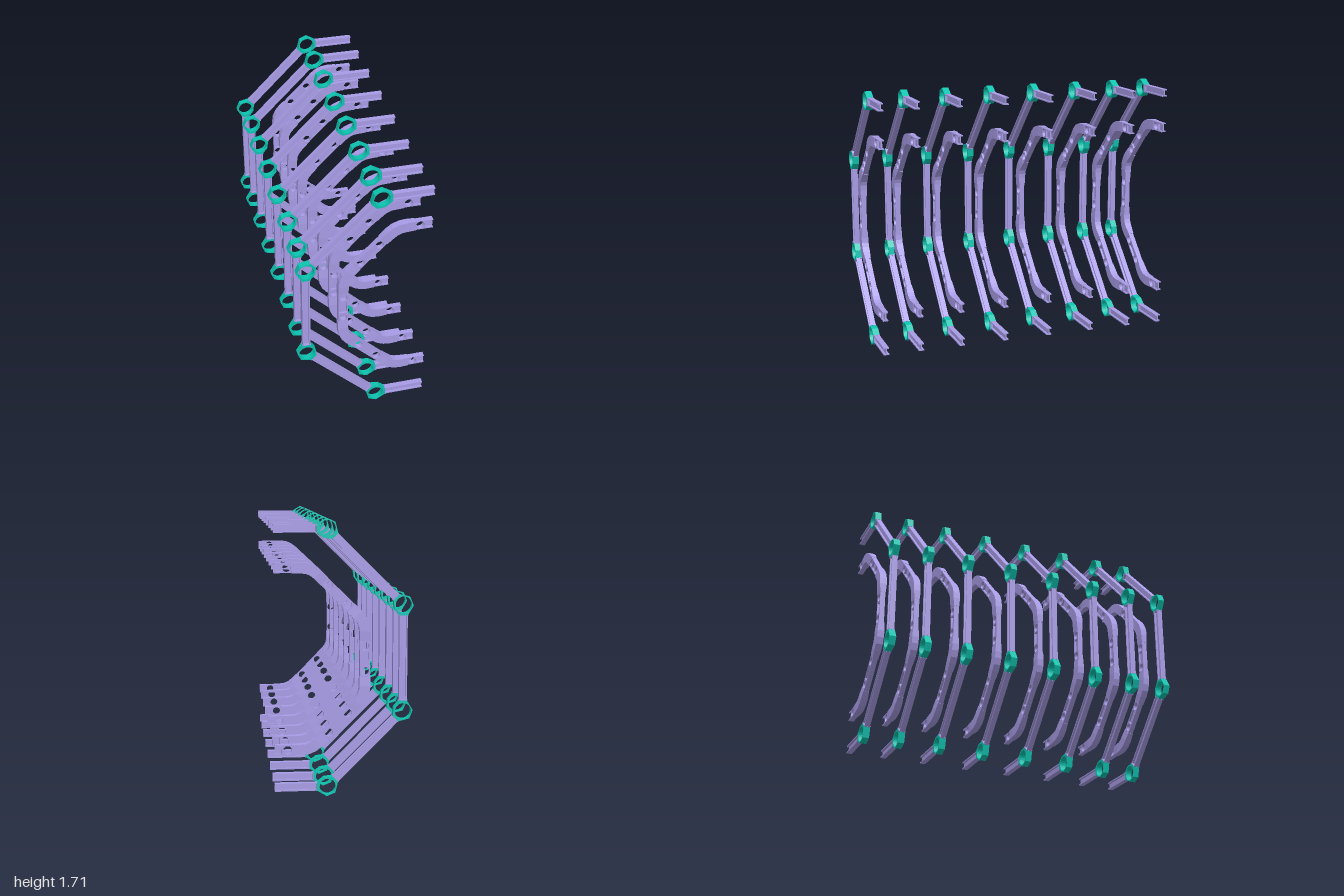
import * as THREE from 'three';

const PURPLE = new THREE.MeshStandardMaterial({ color: 0xa89ce6, flatShading: true });
const TEAL = new THREE.MeshStandardMaterial({ color: 0x0cc4b0, flatShading: true });
const MID = 0.85; // height of the mirror plane
const V = (x, y) => new THREE.Vector2(x, y);

function addMesh(parent, name, geometry, material) {
  const mesh = new THREE.Mesh(geometry, material);
  mesh.name = name;
  parent.add(mesh);
}

// Extrude an outline with a round hole, centred on z
function plate(points, depth, hole) {
  const shape = new THREE.Shape(points);
  const path = new THREE.Path();
  path.absarc(hole.x, hole.y, hole.r, 0, Math.PI * 2, true);
  shape.holes.push(path);
  const geo = new THREE.ExtrudeGeometry(shape, { depth, bevelEnabled: false, curveSegments: 14 });
  return geo.translate(0, 0, -depth / 2);
}

// Place a geometry lying along x at the point `dist` from a, facing b
function along(geo, a, b, dist) {
  const d = b.clone().sub(a).normalize();
  return geo.rotateZ(d.angle()).translate(a.x + d.x * dist, a.y + d.y * dist, 0);
}

// I-beam running from a to b, web in the xy plane
function iBeam(parent, name, a, b, from, to, height, width) {
  const h = height / 2, w = width / 2, t = 0.008, web = 0.004;
  const pts = [[-w, -h], [w, -h], [w, -h + t], [web, -h + t], [web, h - t], [w, h - t],
    [w, h], [-w, h], [-w, h - t], [-web, h - t], [-web, -h + t], [-w, -h + t]];
  const shape = new THREE.Shape(pts.map(([x, y]) => V(x, y)));
  const geo = new THREE.ExtrudeGeometry(shape, { depth: to - from, bevelEnabled: false });
  geo.rotateY(Math.PI / 2);
  addMesh(parent, name, along(geo, a, b, from), PURPLE);
}

// Faceted node ring with a flat pad towards each of its two beams
function nodeRing(parent, c, angleA, angleB) {
  const turn = Math.PI * 2;
  const pad = Math.hypot(0.066, 0.024), half = Math.atan2(0.024, 0.066);
  const inner = (angleA + angleB) / 2, outer = inner + Math.PI;
  const corners = [[angleA - half, pad], [angleA + half, pad], [inner, 0.062],
    [angleB - half, pad], [angleB + half, pad], [outer - 0.48, 0.061], [outer + 0.48, 0.061]]
    .map(([a, r]) => [(a + turn) % turn, r])
    .sort((p, q) => p[0] - q[0]);
  const pts = corners.map(([a, r]) => V(c.x + r * Math.cos(a), c.y + r * Math.sin(a)));
  addMesh(parent, 'nodeRing', plate(pts, 0.043, { x: c.x, y: c.y, r: 0.05 }), TEAL);
  // end plates between ring and beams
  for (const angle of [angleA, angleB]) {
    const geo = new THREE.BoxGeometry(0.005, 0.054, 0.042).translate(0.068, 0, 0);
    addMesh(parent, 'endPlate', geo.rotateZ(angle).translate(c.x, c.y, 0), PURPLE);
  }
}

// Short web plate with a round hole
function holePlate(parent, a, b, dist) {
  const l = 0.036, h = 0.031;
  const pts = [V(-l, -h), V(l, -h), V(l, h), V(-l, h)];
  addMesh(parent, 'holePlate', along(plate(pts, 0.034, { x: 0, y: 0, r: 0.026 }), a, b, dist), PURPLE);
}

// Faceted elbow between the legs corner-a and corner-b, thicker at the bend
function elbow(parent, a, corner, b) {
  const da = a.clone().sub(corner).normalize(), db = b.clone().sub(corner).normalize();
  const at = (d, s) => corner.clone().addScaledVector(d, s);
  const curve = new THREE.QuadraticBezierCurve(at(da, 0.06), corner, at(db, 0.06));
  const path = [at(da, 0.117), ...curve.getPoints(3), at(db, 0.117)];
  const last = path.length - 1;
  const positions = [], index = [];
  path.forEach((p, i) => {
    const t = path[Math.min(i + 1, last)].clone().sub(path[Math.max(i - 1, 0)]).normalize();
    const z = i === 0 || i === last ? 0.019 : 0.023;
    for (const [s, k] of [[-1, -1], [1, -1], [1, 1], [-1, 1]]) {
      positions.push(p.x - t.y * s * 0.033, p.y + t.x * s * 0.033, k * z);
    }
    if (i === last) return;
    for (let j = 0; j < 4; j++) {
      const u = i * 4 + j, v = i * 4 + (j + 1) % 4;
      index.push(u, v, u + 4, v, v + 4, u + 4);
    }
  });
  const e = last * 4;
  index.push(0, 2, 1, 0, 3, 2, e, e + 1, e + 2, e, e + 2, e + 3);
  const geo = new THREE.BufferGeometry();
  geo.setAttribute('position', new THREE.Float32BufferAttribute(positions, 3));
  geo.setIndex(index);
  const flat = geo.toNonIndexed();
  flat.computeVertexNormals();
  addMesh(parent, 'elbow', flat, PURPLE);
}

function buildFrame() {
  const frame = new THREE.Group();
  frame.name = 'frame';
  const flip = (p) => V(p.x, 2 * MID - p.y);

  // Outer frame: node rings joined by I-beams
  const outer = new THREE.Group();
  outer.name = 'outerFrame';
  const o = [V(0.424, 1.643), V(0.098, 1.643), V(-0.366, 1.179)];
  const op = [...o, ...o.slice().reverse().map(flip)];
  for (let i = 0; i < 5; i++) {
    const len = op[i].distanceTo(op[i + 1]);
    iBeam(outer, 'outerBeam', op[i], op[i + 1], i === 0 ? 0 : 0.07, i === 4 ? len : len - 0.07, 0.05, 0.036);
  }
  const q = Math.PI / 4;
  nodeRing(outer, op[1], 0, -3 * q);
  nodeRing(outer, op[2], q, -2 * q);
  nodeRing(outer, op[3], 2 * q, -q);
  nodeRing(outer, op[4], 3 * q, 0);

  // Inner rib: elbows, holed plates and short I-beams
  const inner = new THREE.Group();
  inner.name = 'innerRib';
  const n = [V(0.424, 1.408), V(0.2, 1.408), V(-0.13, 1.078)];
  const np = [...n, ...n.slice().reverse().map(flip)];
  for (let i = 1; i < 5; i++) elbow(inner, np[i - 1], np[i], np[i + 1]);
  for (let i = 0; i < 5; i++) {
    const a = np[i], b = np[i + 1], len = a.distanceTo(b);
    const hasStart = i > 0, hasEnd = i < 4;
    const d = hasStart && hasEnd ? 0.15 : 0.144;
    if (hasStart) holePlate(inner, a, b, d);
    if (hasEnd) holePlate(inner, a, b, len - d);
    iBeam(inner, 'innerBeam', a, b, hasStart ? d + 0.035 : 0, hasEnd ? len - d - 0.035 : len, 0.062, 0.034);
  }

  frame.add(outer, inner);
  return frame;
}

export function createModel() {
  const model = new THREE.Group();
  model.name = 'frameRow';
  const frame = buildFrame();
  for (const z of [0.155, 0.462, 0.742, 0.977]) {
    for (const s of [-1, 1]) {
      const copy = frame.clone();
      copy.position.z = s * z;
      model.add(copy);
    }
  }
  return model;
}
